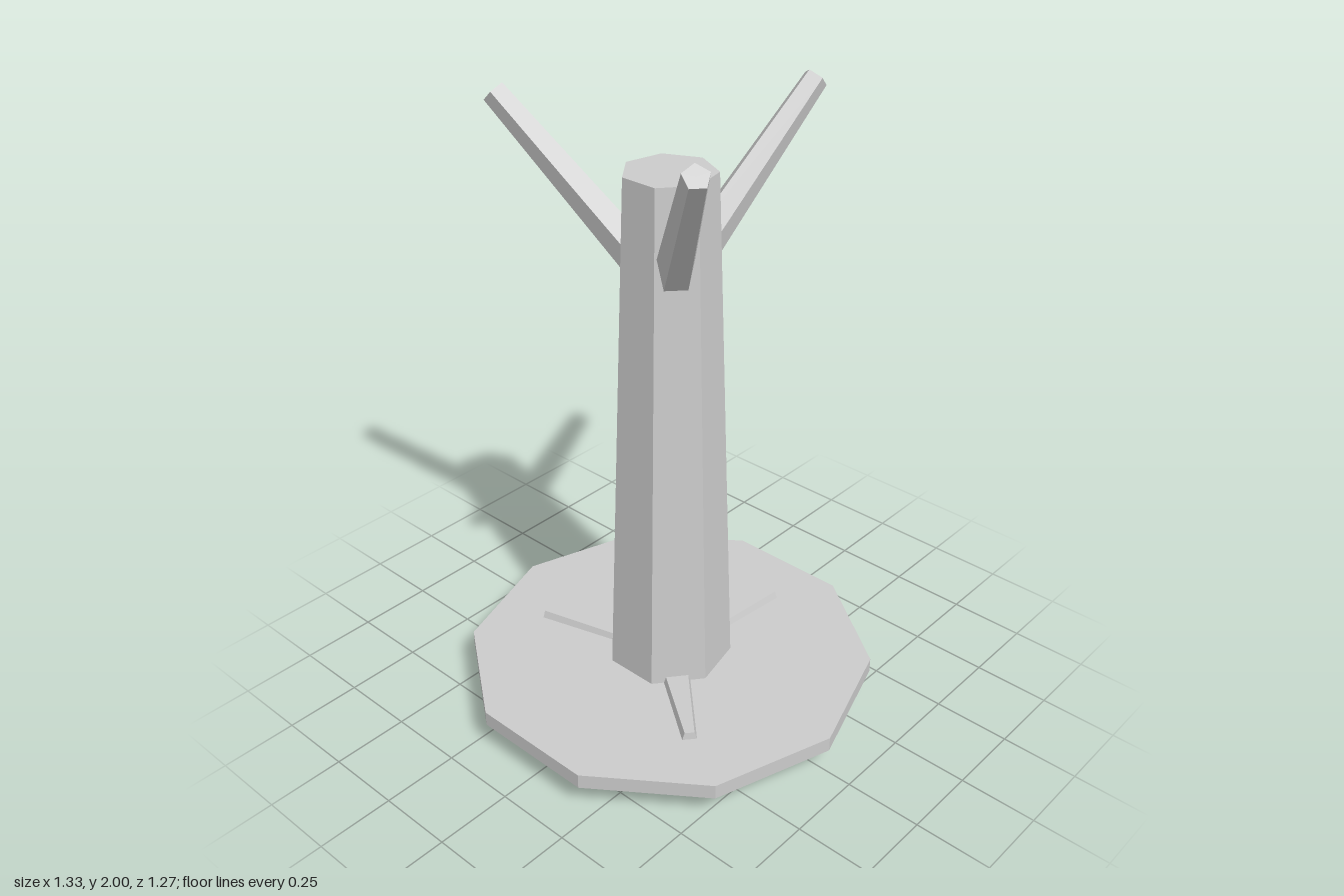
import * as THREE from 'three';

const material = new THREE.MeshStandardMaterial({ color: 0xcccccc, flatShading: true });

// Upright faceted post between two heights
function post(name, topRadius, bottomRadius, y0, y1, sides, turn) {
  const geometry = new THREE.CylinderGeometry(topRadius, bottomRadius, y1 - y0, sides, 1, false, turn);
  const mesh = new THREE.Mesh(geometry, material);
  mesh.position.y = (y0 + y1) / 2;
  mesh.name = name;
  return mesh;
}

// Tapered five-sided limb; from and to are [distance from axis, height]
function limb(name, degrees, from, to, baseRadius, tipRadius, ridge) {
  const dr = to[0] - from[0], dy = to[1] - from[1];
  const geometry = new THREE.CylinderGeometry(tipRadius, baseRadius, Math.hypot(dr, dy), 5, 1, false, ridge);
  const mesh = new THREE.Mesh(geometry, material);
  mesh.position.set((from[0] + to[0]) / 2, (from[1] + to[1]) / 2, 0);
  mesh.rotation.z = -Math.atan2(dr, dy);
  const pivot = new THREE.Group();
  pivot.rotation.y = -THREE.MathUtils.degToRad(degrees);
  pivot.name = name;
  pivot.add(mesh);
  return pivot;
}

export function createModel() {
  const model = new THREE.Group();
  model.name = 'bareTree';

  // Ten-sided ground disc and seven-sided trunk
  model.add(post('groundDisc', 0.667, 0.667, 0.09, 0.14, 10, Math.PI / 2));
  model.add(post('trunk', 0.14, 0.205, 0.1, 1.81, 7, Math.PI));

  // Three branches and three roots, spaced a third of a turn apart
  const branchReach = [0.483, 0.536, 0.538];
  for (let i = 0; i < 3; i++) {
    const degrees = 40 + i * 120;
    // Branch with its ridge on the upper side
    model.add(limb('branch' + (i + 1), degrees, [0.09, 1.528], [branchReach[i], 1.972], 0.06, 0.039, -Math.PI / 2));
    // Root with a flat top and a keel that shows under the disc
    model.add(limb('root' + (i + 1), degrees, [0, 0.088], [0.457, 0.143], 0.087, 0.026, Math.PI / 2));
  }
  return model;
}
